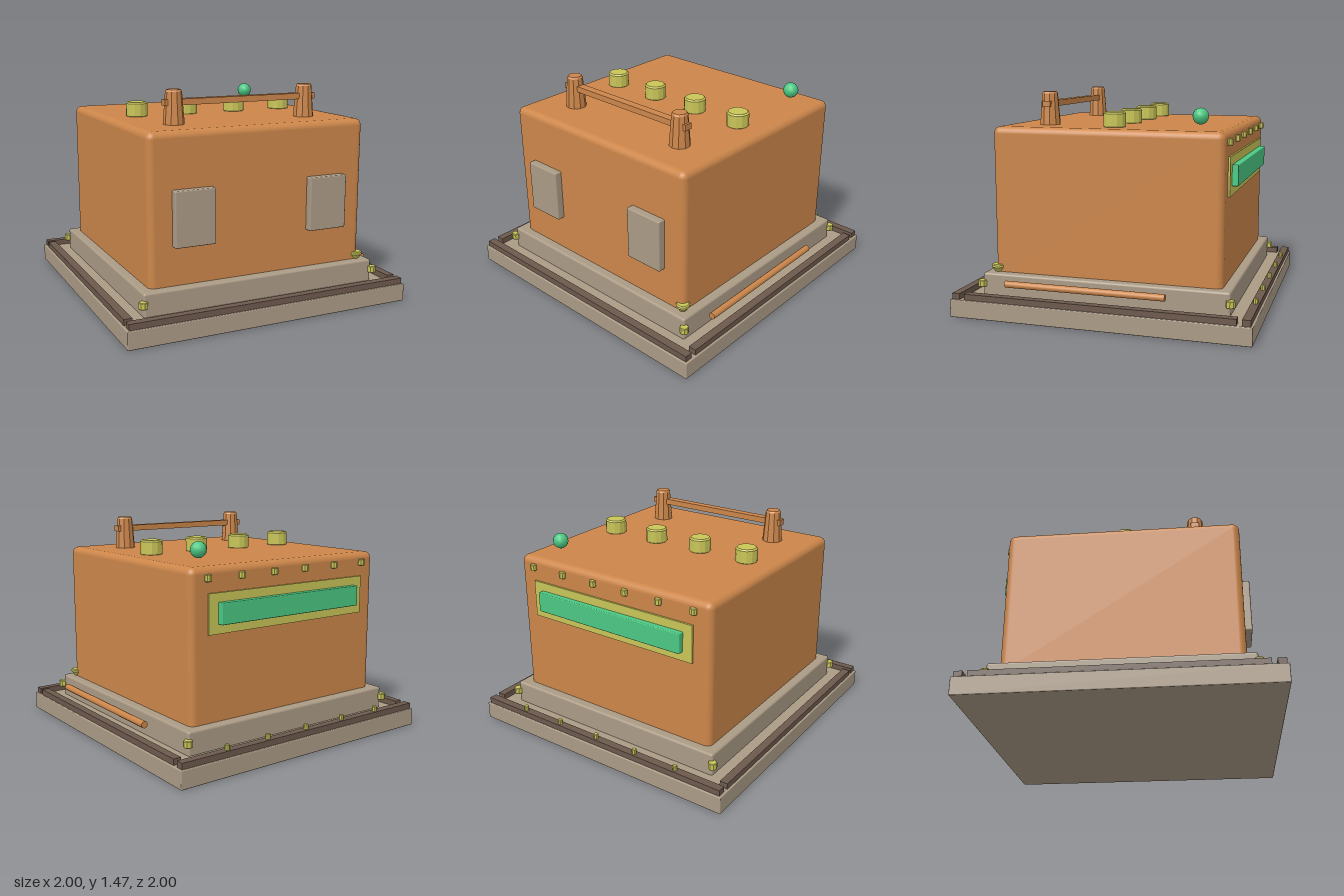
import * as THREE from 'three';
import { RoundedBoxGeometry } from 'three/addons/geometries/RoundedBoxGeometry.js';

const mat = (name, color) => {
  const m = new THREE.MeshStandardMaterial({ color });
  m.name = name;
  return m;
};

export function createModel() {
  const orange = mat('orange', 0xcc864a);
  const tan = mat('tan', 0xab9b86);
  const brown = mat('brown', 0x6d594d);
  const yellow = mat('yellow', 0xc9c558);
  const green = mat('green', 0x4bc883);

  const model = new THREE.Group();
  model.name = 'machine';

  const add = (name, geometry, material, x, y, z) => {
    const mesh = new THREE.Mesh(geometry, material);
    mesh.name = name;
    mesh.position.set(x, y, z);
    model.add(mesh);
    return mesh;
  };
  // Box given by its limits on each axis, with optional rounded edges
  const box = (name, material, [x0, x1], [y0, y1], [z0, z1], r = 0) => {
    const s = [x1 - x0, y1 - y0, z1 - z0];
    const g = r ? new RoundedBoxGeometry(...s, 3, r) : new THREE.BoxGeometry(...s);
    return add(name, g, material, (x0 + x1) / 2, (y0 + y1) / 2, (z0 + z1) / 2);
  };
  // Faceted turned part from [radius, height] points, bottom to top
  const turned = (points, sides) => {
    const g = new THREE.LatheGeometry(points.map(p => new THREE.Vector2(...p)), sides).toNonIndexed();
    g.computeVertexNormals();
    return g;
  };
  const stud = (r, h, sides, b = 0.004) =>
    turned([[0, 0], [r - b, 0], [r, b], [r, h - b], [r - b, h], [0, h]], sides);

  // Base slab, plinth and main body
  box('baseSlab', tan, [-1, 1], [0, 0.12], [-1, 1], 0.006);
  box('plinth', tan, [-0.835, 0.835], [0.11, 0.272], [-0.835, 0.835], 0.015);
  box('body', orange, [-0.773, 0.773], [0.2, 1.245], [-0.773, 0.773], 0.045);

  // Rails around the rim of the slab
  for (const s of [-1, 1]) {
    const span = [s * 0.96 - 0.027, s * 0.96 + 0.027];
    box('endRail', brown, [-0.985, 0.985], [0.12, 0.16], span);
    box('sideRail', brown, span, [0.12, 0.16], [-0.9, 0.9]);
  }

  // Bolts at the plinth corners
  const bolt = stud(0.03, 0.046, 8);
  for (const x of [-0.84, 0.84])
    for (const z of [-0.838, 0.838]) add('cornerBolt', bolt, yellow, x, 0.18, z);

  // Front panels
  for (const s of [-1, 1])
    box('frontPanel', tan, [s * 0.479 - 0.138, s * 0.479 + 0.138], [0.525, 0.885], [0.75, 0.824], 0.008);

  // Row of knobs on the roof
  const knob = stud(0.075, 0.105, 12, 0.01);
  for (let i = 0; i < 4; i++) add('roofKnob', knob, yellow, -0.552 + i * 0.37, 1.238, -0.005);

  // Tapered posts with a crossbar
  const post = turned([[0, 0], [0.07, 0], [0.07, 0.012], [0.054, 0.215], [0.046, 0.228], [0, 0.228]], 10);
  for (const x of [-0.48, 0.48]) add('handlePost', post, orange, x, 1.238, 0.48);
  box('handleBar', orange, [-0.55, 0.55], [1.365, 1.405], [0.452, 0.508]);

  // Signal ball above the roof
  add('signalBall', new THREE.SphereGeometry(0.053, 12, 8), green, 0.577, 1.327, -0.58);

  // Back window with its frame and a row of studs
  box('windowFrame', yellow, [-0.645, 0.645], [0.83, 1.085], [-0.786, -0.76]);
  box('backWindow', green, [-0.577, 0.577], [0.89, 1.027], [-0.826, -0.77], 0.006);
  const backStud = stud(0.023, 0.044, 8);
  for (let i = 0; i < 6; i++) add('backStud', backStud, yellow, -0.65 + i * 0.26, 1.157, -0.781);

  // Small studs on the back rail
  const railStud = stud(0.016, 0.04, 8, 0.003);
  for (let i = 0; i < 5; i++) add('railStud', railStud, yellow, -0.64 + i * 0.32, 0.155, -0.962);

  // Flared cap at the front corner of the plinth
  const cap = turned([[0, 0], [0.022, 0], [0.03, 0.01], [0.046, 0.032], [0.046, 0.046], [0.038, 0.052], [0, 0.052]], 12);
  add('cornerCap', cap, yellow, 0.757, 0.27, 0.757);

  // Round rod along the side
  const rod = add('sideRod', new THREE.CylinderGeometry(0.023, 0.023, 1.08, 12), orange, 0.9, 0.226, 0.1);
  rod.rotation.x = Math.PI / 2;

  return model;
}
